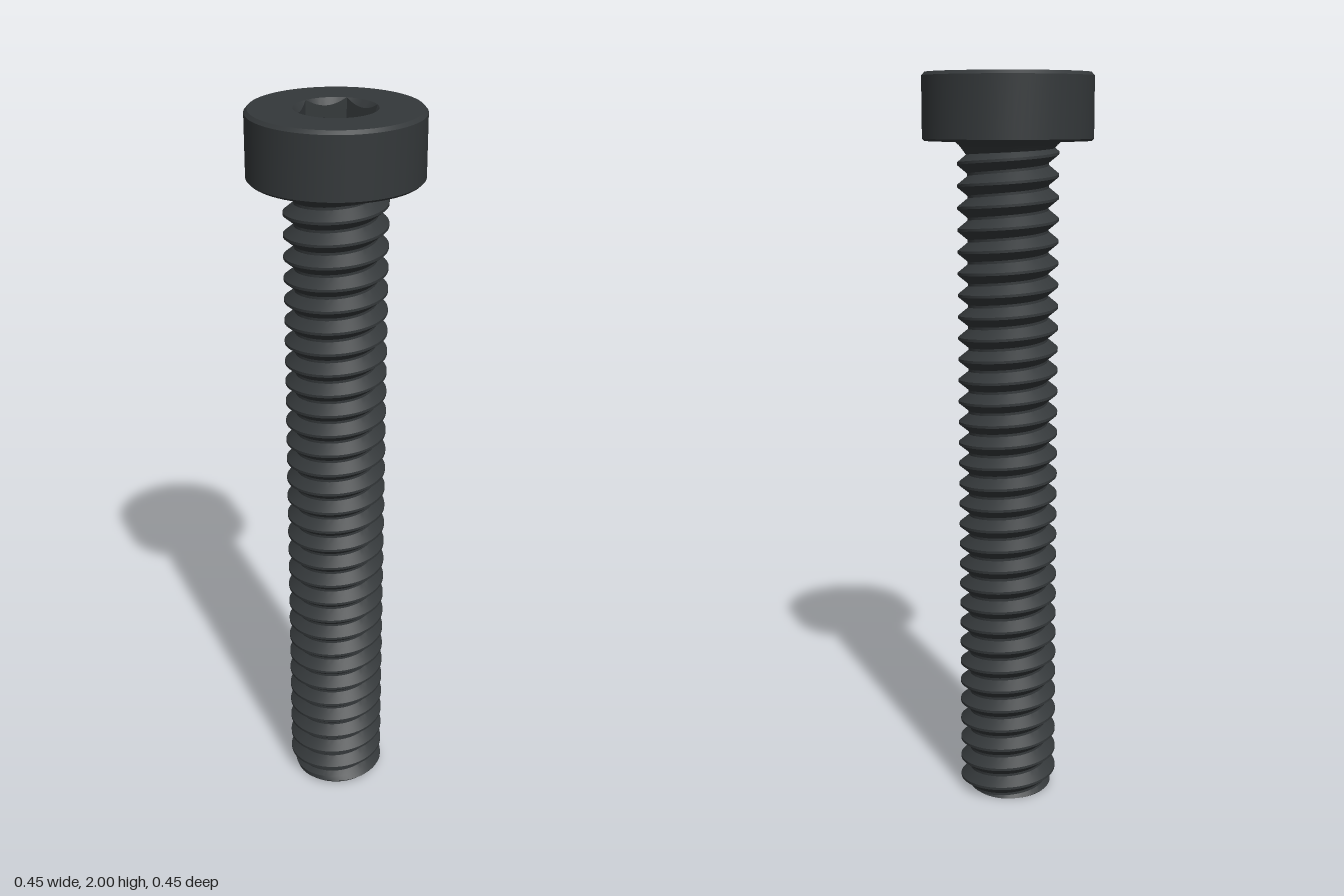
import * as THREE from 'three';
import { toCreasedNormals } from 'three/addons/utils/BufferGeometryUtils.js';

const SEGMENTS = 72;
const HEAD_BOTTOM = 1.825;
const PITCH = 0.058;
const ROOT = 0.108, CREST = 0.135;
const HEX_APOTHEM = 0.092, SOCKET_RADIUS = 0.106;

// Skins a stack of closed rings; each ring is a function angle -> [radius, y].
function loft(rings, crease) {
  const rows = rings.map((ring) => Array.from({ length: SEGMENTS + 1 }, (_, i) => {
    const a = (i / SEGMENTS) * Math.PI * 2;
    const [r, y] = ring(a);
    return new THREE.Vector3(r * Math.cos(a), y, -r * Math.sin(a));
  }));
  const positions = [];
  const triangle = (a, b, c) => {
    if (new THREE.Triangle(a, b, c).getArea() < 1e-9) return;
    for (const p of [a, b, c]) positions.push(p.x, p.y, p.z);
  };
  for (let j = 0; j < rows.length - 1; j++) {
    for (let i = 0; i < SEGMENTS; i++) {
      const a = rows[j][i], b = rows[j][i + 1];
      const c = rows[j + 1][i], d = rows[j + 1][i + 1];
      triangle(a, b, d);
      triangle(a, d, c);
    }
  }
  const geometry = new THREE.BufferGeometry();
  geometry.setAttribute('position', new THREE.Float32BufferAttribute(positions, 3));
  return toCreasedNormals(geometry, crease);
}

const circle = (r, y) => () => [r, y];

// Thread radius at a given angle and height: V grooves with narrow crests
function threadRadius(angle, y) {
  const turns = (y - 0.018) / PITCH - angle / (Math.PI * 2);
  const fromCrest = Math.abs(turns - Math.round(turns)) * 2;
  const t = THREE.MathUtils.clamp((fromCrest - 0.12) / 0.76, 0, 1);
  return Math.min(THREE.MathUtils.lerp(CREST, ROOT, t), 0.115 + y);
}

// Threaded shank: rings climb one pitch per turn and are trimmed flat at both ends
function threadRings() {
  const rings = [circle(0, 0)];
  const turns = Math.ceil(HEAD_BOTTOM / PITCH) + 1;
  for (let k = -2; k <= turns; k++) {
    for (const f of [0.06, 0.25, 0.44, 0.56, 0.75, 0.94]) {
      rings.push((a) => {
        const y = THREE.MathUtils.clamp(
          0.018 + PITCH * (k + f + a / (Math.PI * 2)), 0, HEAD_BOTTOM);
        return [threadRadius(a, y), y];
      });
    }
  }
  return rings;
}

// Radius of the hexagon, with corners on the x axis
function hexRadius(angle) {
  const sector = Math.PI / 3;
  return HEX_APOTHEM / Math.cos((angle % sector) - sector / 2);
}

export function createModel() {
  const group = new THREE.Group();
  const material = new THREE.MeshStandardMaterial({ color: 0x34383a });
  const add = (name, geometry) => {
    const mesh = new THREE.Mesh(geometry, material);
    mesh.name = name;
    group.add(mesh);
  };

  add('threadedShank', loft(threadRings(), 0.5));

  // Small flare where the shank meets the head
  add('neckFillet', loft([
    circle(0.108, 1.785), circle(0.121, 1.803), circle(0.13, 1.814), circle(0.142, HEAD_BOTTOM),
  ], 0.6));

  // Cylindrical head with chamfered rims, open in the middle of the top
  add('head', loft([
    circle(0.1, HEAD_BOTTOM), circle(0.22, HEAD_BOTTOM), circle(0.226, 1.831),
    circle(0.226, 1.991), circle(0.218, 2), circle(SOCKET_RADIUS, 2),
  ], 0.4));

  // Hex socket with a conical lead-in
  add('hexSocket', loft([
    circle(SOCKET_RADIUS, 2),
    (a) => [hexRadius(a), 2 - (SOCKET_RADIUS - hexRadius(a)) * 1.2],
    (a) => [hexRadius(a), 1.9],
    circle(0, 1.9),
  ], 0.4));

  return group;
}
